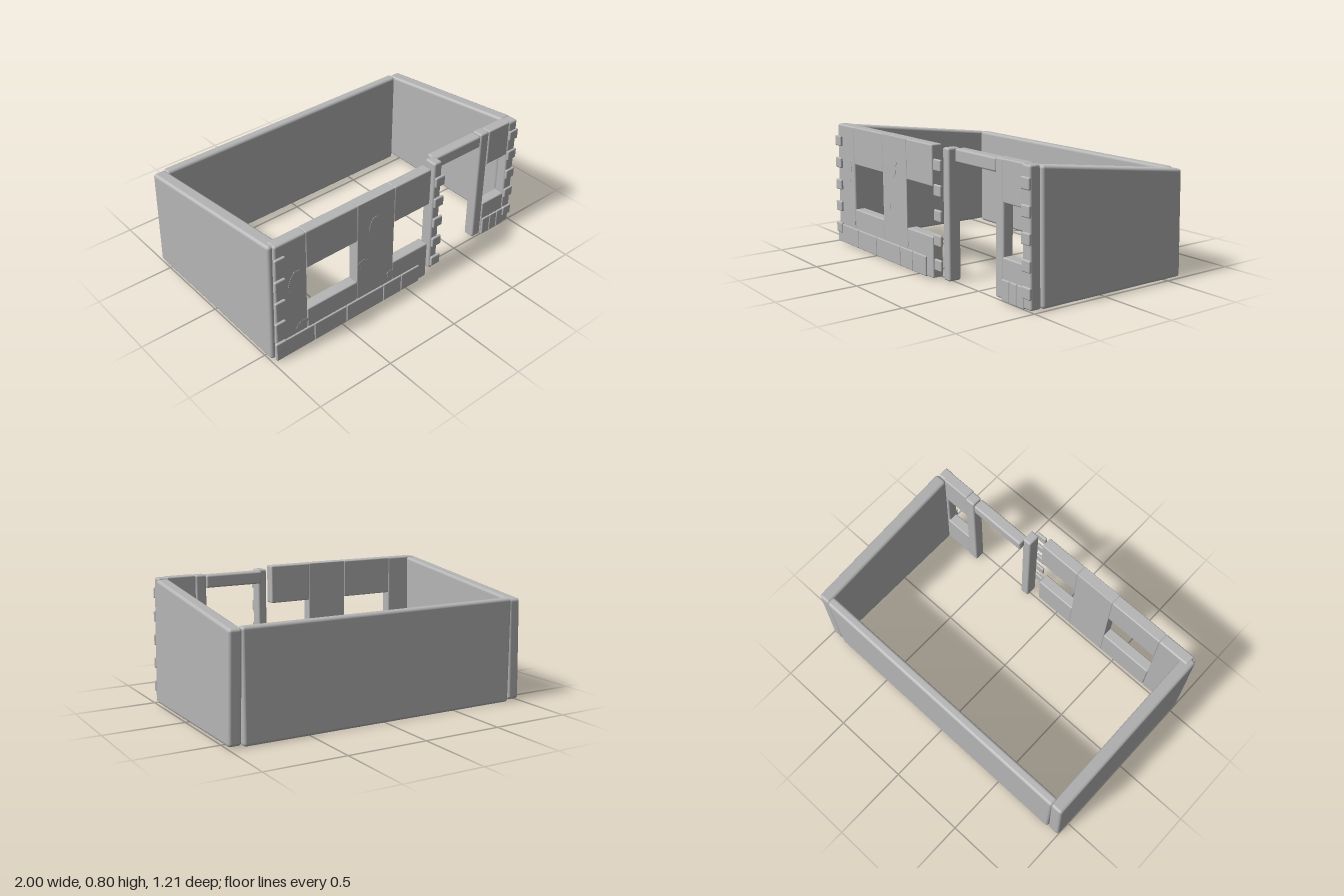
import * as THREE from 'three';
import { RoundedBoxGeometry } from 'three/addons/geometries/RoundedBoxGeometry.js';

export function createModel() {
  const model = new THREE.Group();
  model.name = 'roomWalls';
  const plaster = new THREE.MeshStandardMaterial({ color: 0xb6b6b6 });
  plaster.name = 'grey plaster';

  // Rounded block between two corners; edit(v, t) shifts each vertex, t = 0 at its foot and 1 at its top
  function block(name, [x0, x1], [y0, y1], [z0, z1], r = 0.012, edit = null) {
    const geo = new RoundedBoxGeometry(x1 - x0, y1 - y0, z1 - z0, 3, r);
    geo.translate((x0 + x1) / 2, (y0 + y1) / 2, (z0 + z1) / 2);
    if (edit) {
      const pos = geo.attributes.position;
      const v = new THREE.Vector3();
      for (let i = 0; i < pos.count; i++) {
        v.fromBufferAttribute(pos, i);
        edit(v, (v.y - y0) / (y1 - y0));
        pos.setXYZ(i, v.x, v.y, v.z);
      }
      if (name.endsWith('SideWall')) {
        // Follow the slanted top with the shading of the upper rim only
        const nor = geo.attributes.normal;
        for (let i = 0; i < nor.count; i++) {
          v.fromBufferAttribute(nor, i);
          if (v.y > 0) v.z += 0.145 * v.y;
          v.normalize();
          nor.setXYZ(i, v.x, v.y, v.z);
        }
      }
    }
    const mesh = new THREE.Mesh(geo, plaster);
    mesh.name = name;
    model.add(mesh);
    return mesh;
  }

  // Side walls: leaning slightly inward, tops falling towards the back
  const sideWall = (name, side, zFront, top) =>
    block(name, side > 0 ? [0.92, 1] : [-1, -0.92], [0.01, top], [-0.6, zFront], 0.018, (v, t) => {
      v.x -= side * 0.016 * t;
      if (t > 0.5) v.y -= (zFront - v.z) / (zFront + 0.6) * (top - 0.65);
    });
  sideWall('leftSideWall', 1, 0.442, 0.782);
  sideWall('rightSideWall', -1, 0.565, 0.8);
  block('backWall', [-0.915, 0.91], [0, 0.657], [-0.605, -0.545], 0.018);

  // Wide front wall with two window gaps
  const wallZ = [0.512, 0.583];
  block('cornerPillar', [-0.975, -0.752], [0.01, 0.8], wallZ, 0.012, (v, t) => {
    v.x += 0.018 * t * (v.x < -0.86 ? 1 : 0.3);
  });
  block('windowPier', [-0.39, -0.115], [0.01, 0.8], wallZ, 0.004);
  for (const [side, span] of [['right', [-0.752, -0.388]], ['left', [-0.117, 0.165]]]) {
    block(side + 'WindowLintel', span, [0.555, 0.8], wallZ, 0.008);
    block(side + 'WindowSill', span, [0.01, 0.26], wallZ, 0.008);
  }

  // Doorway
  block('innerDoorPost', [0.225, 0.285], [0.01, 0.79], [0.468, 0.55]);
  block('outerDoorPost', [0.66, 0.73], [0.01, 0.79], [0.43, 0.502]);
  block('doorLintel', [0.275, 0.658], [0.705, 0.785], [0.43, 0.502]);

  // Narrow window bay beside the door
  const bayZ = [0.437, 0.506];
  block('bayLintel', [0.728, 0.915], [0.55, 0.79], bayZ, 0.008);
  block('baySill', [0.728, 0.925], [0.01, 0.25], bayZ, 0.008);
  block('bayCornerPost', [0.915, 0.985], [0.01, 0.787], [0.442, 0.512], 0.012, (v, t) => { v.x -= 0.016 * t; });

  // Foundation stones
  const stoneRow = (name, edges, z) => {
    for (let i = 0; i + 1 < edges.length; i++)
      block(name, [edges[i] + 0.001, edges[i + 1] - 0.001], [0.008, 0.13], z, 0.006);
  };
  stoneRow('frontFoundationStone', [-0.98, -0.71, -0.473, -0.19, -0.048, 0.1], [0.572, 0.593]);
  stoneRow('bayFoundationStone', [0.732, 0.8, 0.865, 0.928], [0.495, 0.517]);

  // Corner stones: five to a column
  const columns = [
    ['rightCornerStone', -0.95, 0.016, [0.581, 0.6]],
    ['doorCornerStone', 0.232, 0, [0.579, 0.598]],
    ['leftCornerStone', 0.952, -0.013, [0.505, 0.525]],
  ];
  for (const [name, x, lean, z] of columns) {
    for (let i = 0; i < 5; i++) {
      const cx = x + lean * i / 4, cy = 0.105 + i * 0.1465;
      block(name, [cx - 0.036, cx + 0.036], [cy - 0.034, cy + 0.034], z, 0.008);
    }
  }

  // Exposed stones barely standing out of the plaster
  const outline = [[-0.7, -0.9], [0.15, -1], [0.6, -0.75], [0.75, 0.1], [1, 0.5], [0.65, 0.95], [-0.15, 1], [-0.65, 0.55], [-1, -0.2]];
  const patches = [[-0.83, 0.5, 0.05, 0.075, 1], [-0.265, 0.61, 0.042, 0.058, 1], [-0.34, 0.37, 0.042, 0.032, -1],
    [-0.79, 0.17, 0.045, 0.033, 1], [-0.13, 0.18, 0.032, 0.032, -1]];
  for (const [x, y, w, h, flip] of patches) {
    const shape = new THREE.Shape(outline.map(([a, b]) => new THREE.Vector2(x + a * w * flip, y + b * h)));
    const geo = new THREE.ExtrudeGeometry(shape, { depth: 0.005, bevelEnabled: false });
    const patch = new THREE.Mesh(geo, plaster);
    patch.name = 'exposedStone';
    patch.position.z = 0.58;
    model.add(patch);
  }
  return model;
}
